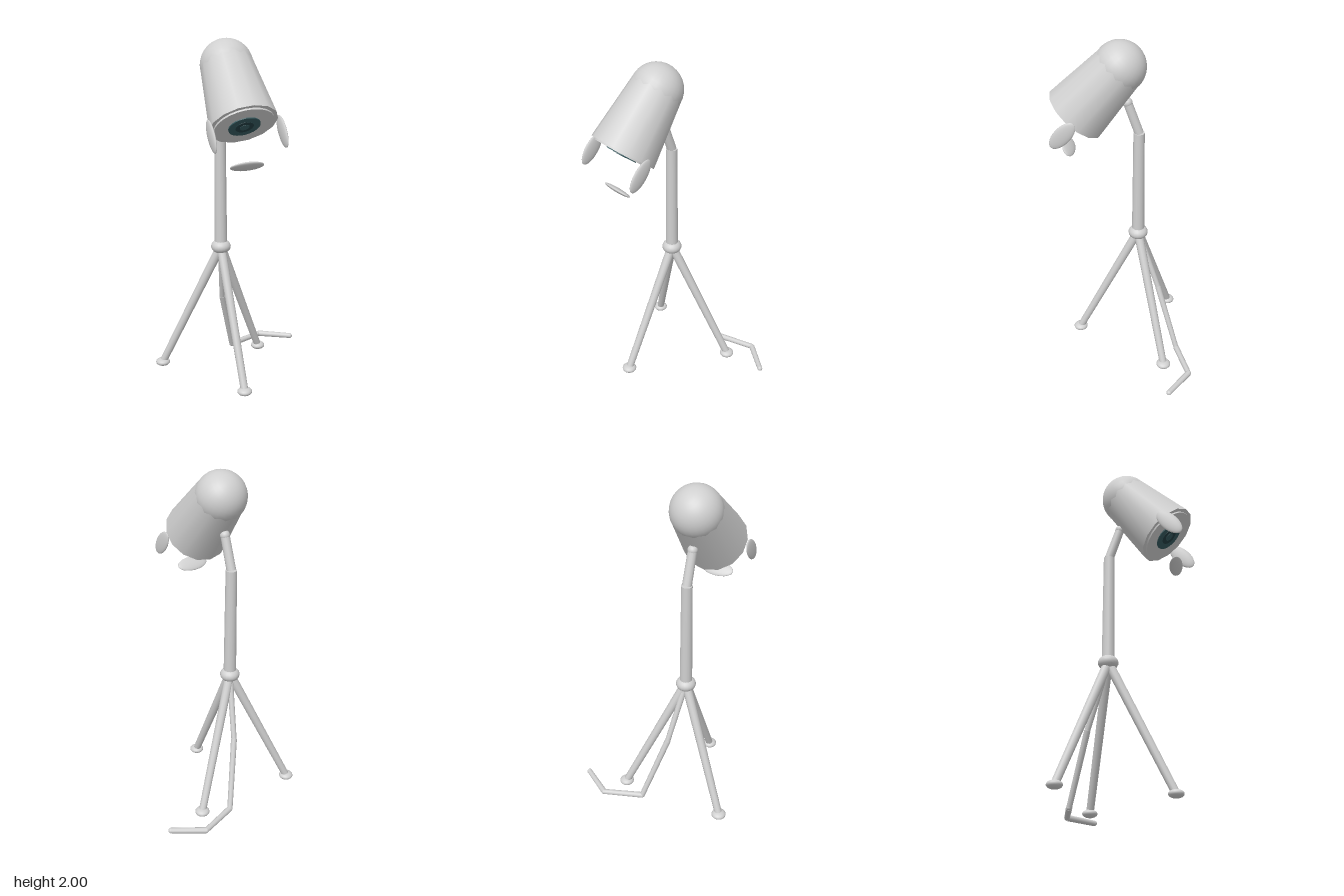
import * as THREE from 'three';

export function createModel() {
  const model = new THREE.Group();
  model.name = 'tripodLampCreature';
  const mat = (name, color) => {
    const m = new THREE.MeshStandardMaterial({ color });
    m.name = name;
    return m;
  };
  const shell = mat('paleGrey', 0xd0d0d0);
  const glass = mat('darkTeal', 0x365a5f);
  const pupilGlass = mat('deepTeal', 0x233e43);
  const V = (x, y, z) => new THREE.Vector3(x, y, z);
  const CX = -0.11, CZ = -0.07;

  const add = (parent, name, geometry, material, x = 0, y = 0, z = 0) => {
    const mesh = new THREE.Mesh(geometry, material);
    mesh.name = name;
    mesh.position.set(x, y, z);
    parent.add(mesh);
    return mesh;
  };
  // Tapered rod between two points
  const rod = (name, a, b, ra, rb, sides = 12) => {
    const d = b.clone().sub(a);
    const mid = a.clone().lerp(b, 0.5);
    const mesh = add(model, name, new THREE.CylinderGeometry(rb, ra, d.length(), sides), shell, mid.x, mid.y, mid.z);
    mesh.quaternion.setFromUnitVectors(V(0, 1, 0), d.normalize());
    return mesh;
  };
  const ellipsoid = (parent, name, x, y, z, rx, ry, rz) =>
    add(parent, name, new THREE.SphereGeometry(1, 20, 14), shell, x, y, z).scale.set(rx, ry, rz);

  // Hub, column and bent neck
  const hub = V(CX, 0.79, CZ);
  ellipsoid(model, 'hub', hub.x, hub.y, hub.z, 0.058, 0.042, 0.058);
  const neckBase = V(CX, 1.46, CZ), neckTop = V(CX, 1.645, -0.005);
  rod('column', hub, neckBase, 0.037, 0.032, 14);
  rod('neck', neckBase, neckTop, 0.027, 0.026);
  ellipsoid(model, 'neckJoint', neckTop.x, neckTop.y, neckTop.z, 0.028, 0.028, 0.028);

  // Three legs with flattened feet
  for (let i = 0; i < 3; i++) {
    const a = i * Math.PI * 2 / 3;
    const foot = V(CX + 0.367 * Math.sin(a), 0.025, CZ + 0.367 * Math.cos(a));
    rod('leg', foot, hub, 0.022, 0.027);
    ellipsoid(model, 'foot', foot.x, foot.y, foot.z, 0.043, 0.023, 0.043);
  }

  // Jointed cable trailing behind
  const cable = [hub, V(-0.055, 0.42, -0.2), V(0.058, 0.028, -0.328), V(0.283, 0.028, -0.41), V(0.456, 0.028, -0.298)];
  for (let i = 0; i < cable.length - 1; i++) {
    rod('cable', cable[i], cable[i + 1], 0.018, 0.016, 10);
    const p = cable[i + 1];
    ellipsoid(model, 'cableJoint', p.x, p.y, p.z, 0.016, 0.016, 0.016);
  }

  // Tilted head: local -y points out through the lens
  const head = new THREE.Group();
  head.name = 'head';
  head.position.set(CX, 1.855, 0.037);
  head.rotation.x = -0.711;
  model.add(head);
  add(head, 'dome', new THREE.SphereGeometry(0.146, 28, 18), shell);
  add(head, 'hood', new THREE.CylinderGeometry(0.146, 0.188, 0.376, 14), shell, 0, -0.188, 0);
  add(head, 'facePlate', new THREE.CylinderGeometry(0.165, 0.165, 0.012, 24), shell, 0, -0.38, 0);
  add(head, 'lens', new THREE.CylinderGeometry(0.088, 0.088, 0.008, 28), glass, 0, -0.388, 0);
  add(head, 'lensRing', new THREE.CylinderGeometry(0.05, 0.05, 0.006, 24), pupilGlass, 0, -0.391, 0);
  add(head, 'lensCentre', new THREE.CylinderGeometry(0.026, 0.026, 0.006, 20), glass, 0, -0.393, 0);

  // Floating petals around the face
  for (const s of [-1, 1]) ellipsoid(head, 'sidePetal', s * 0.201, -0.44, 0.012, 0.013, 0.098, 0.048);
  ellipsoid(head, 'lowerPetal', 0, -0.57, -0.105, 0.098, 0.013, 0.045);

  return model;
}
